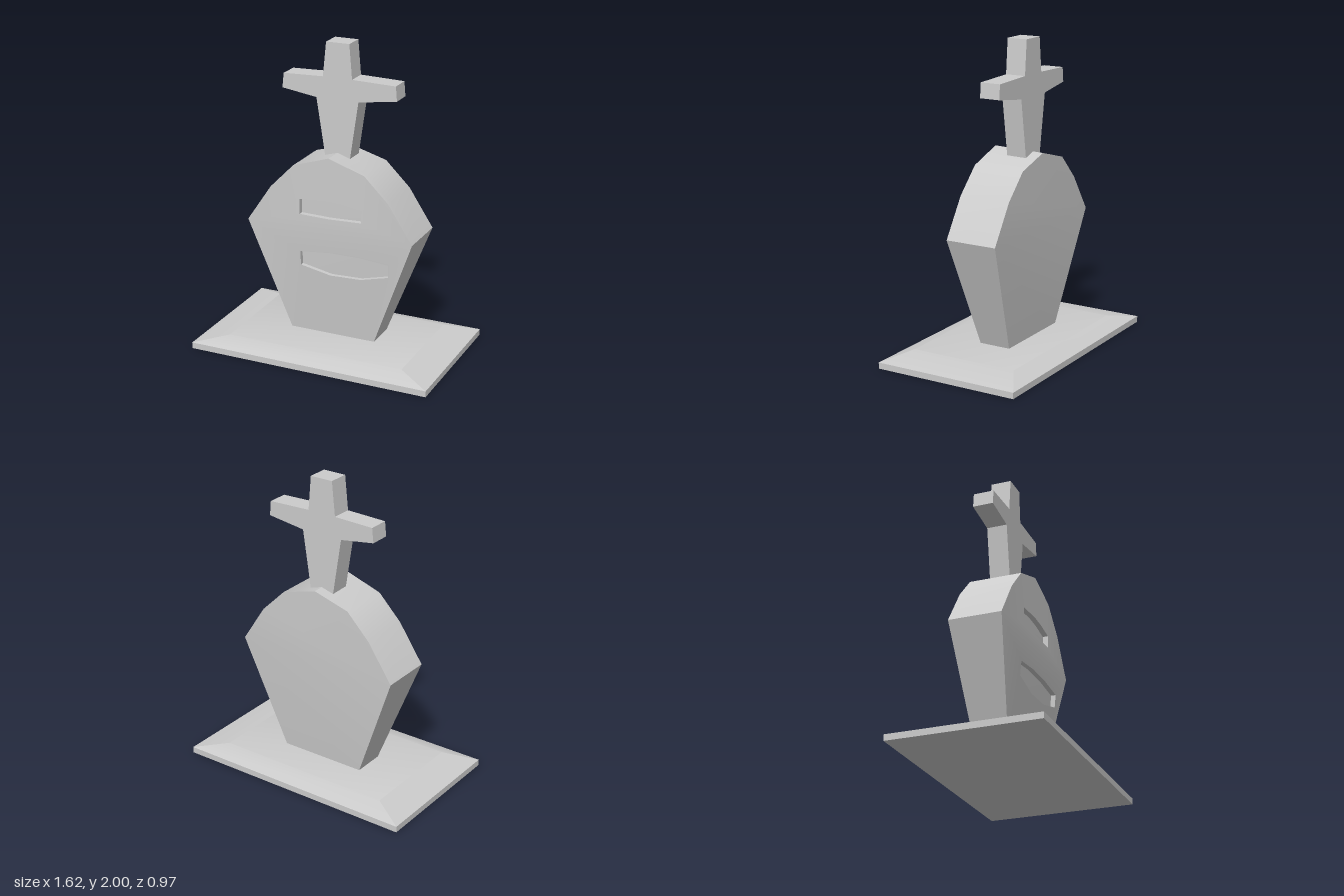
import * as THREE from 'three';
import { mergeGeometries, toCreasedNormals } from 'three/addons/utils/BufferGeometryUtils.js';

const material = new THREE.MeshStandardMaterial({ color: 0xcccccc });
const toPoints = (list) => list.map(([x, y]) => new THREE.Vector2(x, y));

function addMesh(group, name, geometry) {
  const mesh = new THREE.Mesh(geometry, material);
  mesh.name = name;
  group.add(mesh);
}

function extrude(outline, depth, hole) {
  const shape = new THREE.Shape(toPoints(outline));
  if (hole) shape.holes.push(new THREE.Path(toPoints(hole)));
  return new THREE.ExtrudeGeometry(shape, { depth, bevelEnabled: false });
}

// Plinth: a box whose upper rim is drawn in to form sloping edges
function plinthGeometry() {
  const geometry = new THREE.BoxGeometry(1.62, 0.08, 0.97, 1, 2, 1);
  const p = geometry.attributes.position;
  for (let i = 0; i < p.count; i++) {
    const y = p.getY(i) + 0.04;
    if (y > 0.06) {
      p.setX(i, Math.sign(p.getX(i)) * 0.6);
      p.setZ(i, Math.sign(p.getZ(i)) * 0.36);
    }
    p.setY(i, y > 0.06 ? 0.085 : y);
  }
  return toCreasedNormals(geometry, 0.37);
}

// Stone slab between two depth fractions (0 = back, 1 = front), thinner toward its foot
function slab(outline, from, to, hole) {
  const geometry = extrude(outline, 1, hole);
  const p = geometry.attributes.position;
  for (let i = 0; i < p.count; i++) {
    const y = p.getY(i);
    const t = THREE.MathUtils.lerp(from, to, p.getZ(i));
    const k = Math.min((y - 0.085) / 0.73, 1);
    const back = -0.14 - 0.07 * k;
    const front = 0.07 + 0.065 * k;
    p.setZ(i, THREE.MathUtils.lerp(back, front, t));
    if (y > 1.25) p.setY(i, y - 0.01 * (1 - t));
  }
  return geometry;
}

export function createModel() {
  const group = new THREE.Group();
  group.name = 'gravestone';

  addMesh(group, 'plinth', plinthGeometry());

  // Headstone: tapered lower half and arched upper half, each with a recessed panel
  const lower = [[-0.28, 0.05], [0.276, 0.05], [0.565, 0.815], [-0.568, 0.815]];
  const upper = [
    [-0.568, 0.815], [0.565, 0.815], [0.405, 1.06], [0.242, 1.22],
    [0, 1.3], [-0.245, 1.22], [-0.402, 1.06],
  ];
  const lowerPanel = [
    [-0.205, 0.55], [0, 0.508], [0.21, 0.515], [0.4, 0.565],
    [0.4, 0.65], [0.2, 0.667], [0, 0.667], [-0.205, 0.645],
  ];
  const upperPanel = [
    [-0.2, 0.905], [0, 0.9], [0.222, 0.908], [0.225, 0.988],
    [0.1, 1.01], [0, 1.016], [-0.2, 1.005],
  ];
  const floor = 0.9;
  const stone = mergeGeometries([
    slab(lower, 0, floor),
    slab(upper, 0, floor),
    slab(lower, floor, 1, lowerPanel),
    slab(upper, floor, 1, upperPanel),
  ]);
  addMesh(group, 'headstone', toCreasedNormals(stone, 0.54));

  // Cross with flared, slightly uneven arms
  const cross = extrude([
    [-0.075, 1.2], [0.075, 1.2], [0.14, 1.64], [0.395, 1.675], [0.387, 1.77],
    [0.097, 1.778], [0.078, 2], [-0.078, 2], [-0.1, 1.778],
    [-0.37, 1.77], [-0.38, 1.675], [-0.145, 1.64],
  ], 0.135);
  cross.translate(0, 0, -0.138);
  addMesh(group, 'cross', cross);

  return group;
}
